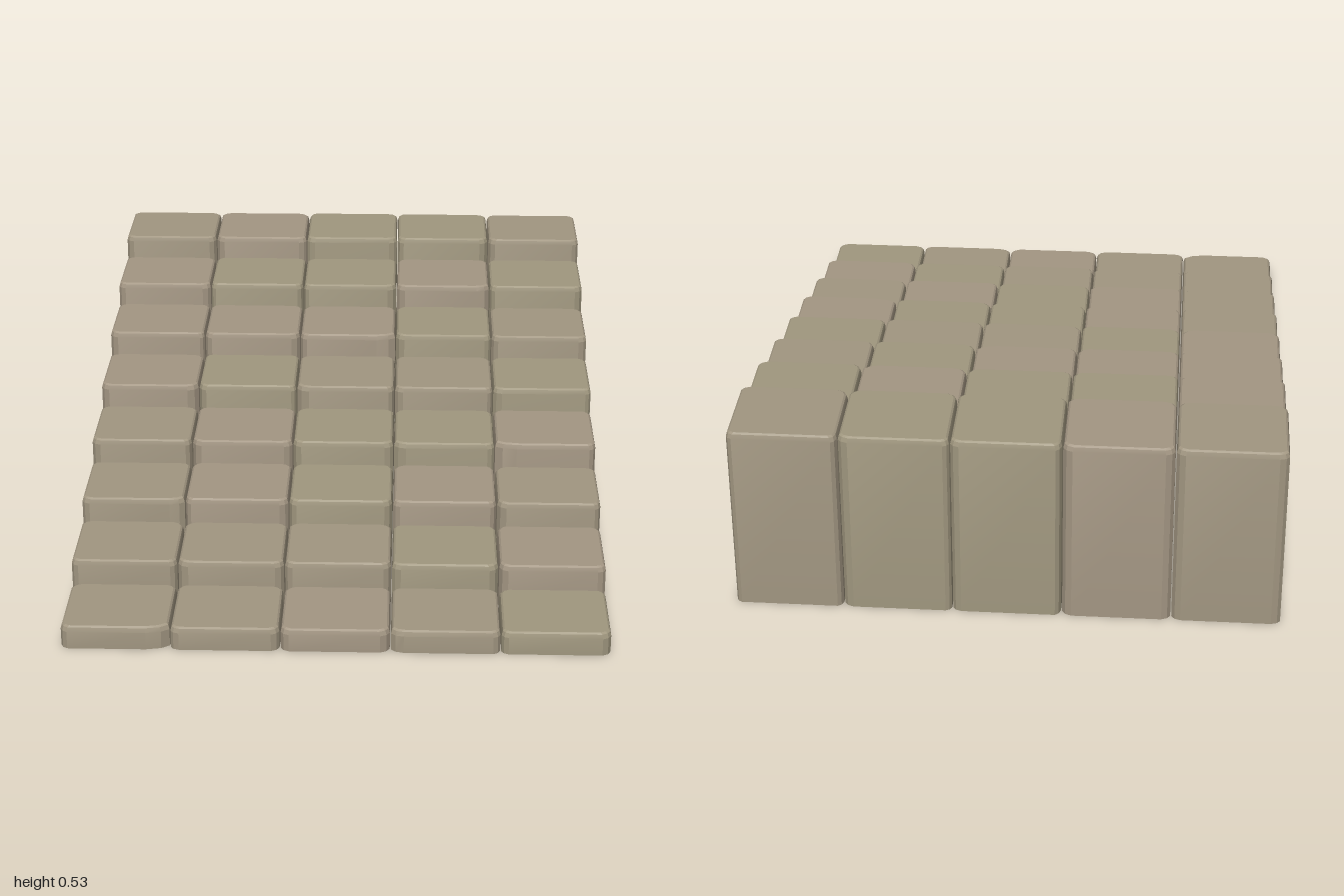
import * as THREE from 'three';
import { mergeVertices, toCreasedNormals } from 'three/addons/utils/BufferGeometryUtils.js';

const COLS = 5, ROWS = 8, W = 1.46 / COLS, D = 2 / ROWS, STEP = 0.533 / ROWS;

// Where the worn front corners end between neighbouring stones, front row first
const WEAR = [
  [-0.50, -0.16, 0.18, 0.45], [-0.41, -0.17, 0.17, 0.45],
  [-0.48, -0.17, 0.13, 0.45], [-0.45, -0.17, 0.18, 0.50],
  [-0.47, -0.11, 0.17, 0.46], [-0.45, -0.15, 0.09, 0.44],
  [-0.44, -0.15, 0.12, 0.40], [-0.44, -0.13, 0.14, 0.46],
];

let seed = 7;
const rand = (a, b) => {
  seed = (seed * 16807) % 2147483647;
  return a + (b - a) * seed / 2147483647;
};

// Upright block with cut corners: cuts = [[x, z] size] for front right,
// back right, back left, front left as seen from above
function blockGeometry(w, d, h, cuts) {
  const signs = [[1, 1], [1, -1], [-1, -1], [-1, 1]];
  const outline = [];
  signs.forEach(([sx, sz], i) => {
    const [cx, cz] = cuts[i];
    const corner = [
      [sx * (w / 2 - cx), sz * d / 2],
      [sx * (w / 2 - cx * 0.35), sz * (d / 2 - cz * 0.35)],
      [sx * w / 2, sz * (d / 2 - cz)],
    ];
    outline.push(...(sx === sz ? corner : corner.reverse()));
  });

  // Cross-sections from the ground to the bevelled top
  const bevel = 0.008;
  const levels = [[0, 0], [h - 0.016, 0], [h - 0.004, bevel * 0.4], [h, bevel]];
  const loops = levels.map(([y, inset]) => outline.map(([x, z]) =>
    [x * (1 - 2 * inset / w), y, z * (1 - 2 * inset / d)]));

  const pos = [], n = outline.length;
  const tri = (...p) => p.forEach(v => pos.push(...v));
  for (let i = 0; i < n; i++) {
    const j = (i + 1) % n;
    for (let k = 0; k < loops.length - 1; k++) {
      const a = loops[k], b = loops[k + 1];
      tri(a[i], a[j], b[j]);
      tri(a[i], b[j], b[i]);
    }
    const top = loops[loops.length - 1];
    tri([0, h, 0], top[i], top[j]);
    tri([0, 0, 0], loops[0][j], loops[0][i]);
  }
  const geo = new THREE.BufferGeometry();
  geo.setAttribute('position', new THREE.Float32BufferAttribute(pos, 3));
  return toCreasedNormals(mergeVertices(geo), 0.3);
}

export function createModel() {
  const model = new THREE.Group();
  model.name = 'stoneStairs';
  const tones = [0xa0977f, 0xa19681, 0xa39683]
    .map(color => new THREE.MeshStandardMaterial({ color, roughness: 0.9 }));

  for (let r = 0; r < ROWS; r++) {
    const step = new THREE.Group();
    step.name = `step${r + 1}`;
    step.position.z = 1 - D * (r + 0.5);
    for (let c = 0; c < COLS; c++) {
      const x = (c - (COLS - 1) / 2) * W;
      const small = () => [rand(0.014, 0.026), rand(0.014, 0.024)];
      const cuts = [small(), small(), small(), small()];
      // Longer wear on the front corners beside each joint
      if (c < COLS - 1) cuts[0][0] = Math.max(cuts[0][0], x + W / 2 - WEAR[r][c]);
      if (c > 0) cuts[3][0] = Math.max(cuts[3][0], WEAR[r][c - 1] - (x - W / 2));
      const h = STEP * (r + 1) - rand(0, 0.002);
      const geo = blockGeometry(W - 0.003, D - 0.002, h, cuts);
      const stone = new THREE.Mesh(geo, tones[Math.floor(rand(0, 2.999))]);
      stone.name = `stone${c + 1}`;
      stone.position.x = x;
      step.add(stone);
    }
    model.add(step);
  }
  return model;
}
